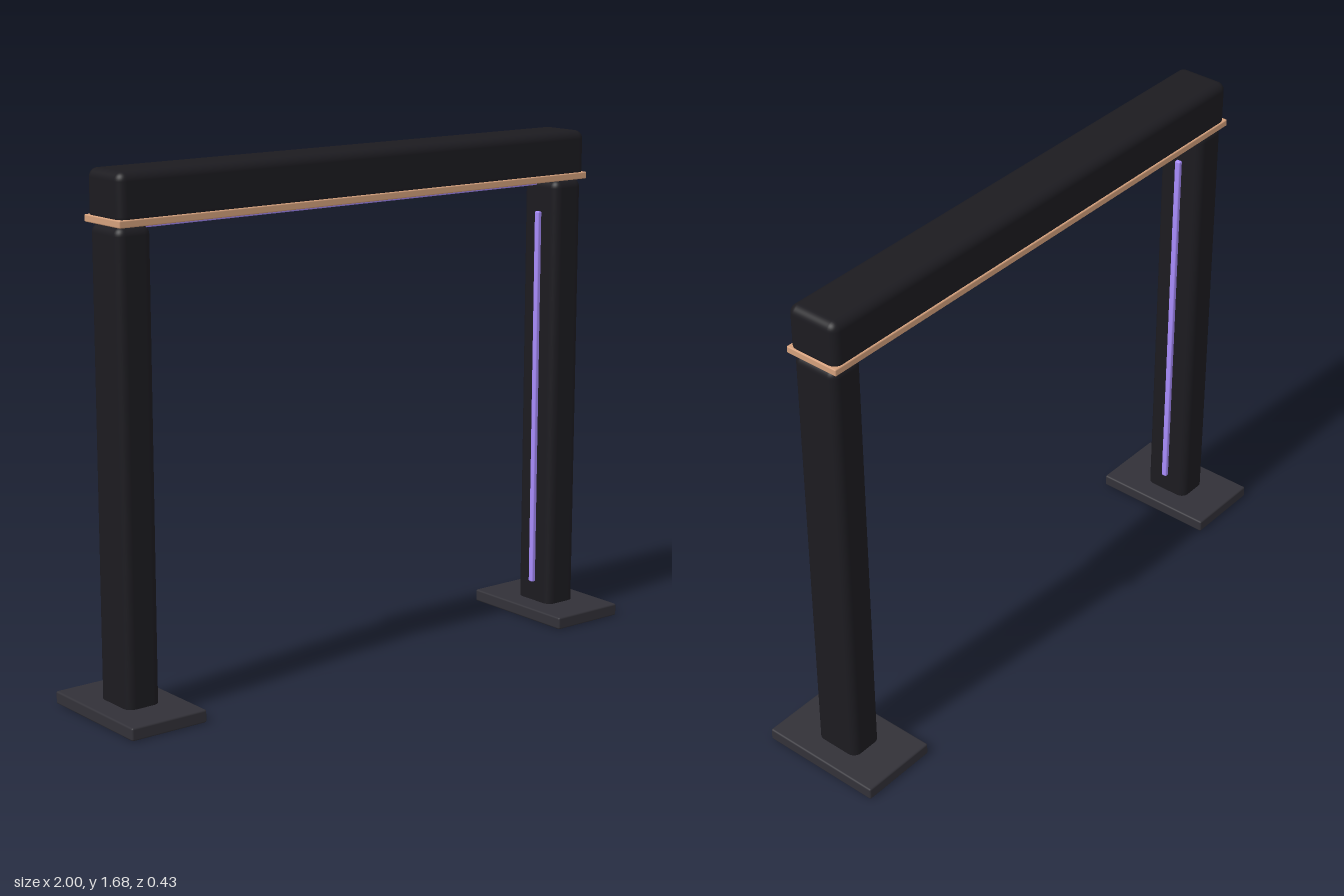
import * as THREE from 'three';
import { RoundedBoxGeometry } from 'three/addons/geometries/RoundedBoxGeometry.js';

const paint = (color) => new THREE.MeshStandardMaterial({ color });

export function createModel() {
  const model = new THREE.Group();
  model.name = 'archway';

  const shell = paint(0x1c1b20);
  const plate = paint(0x323138);
  const copper = paint(0xd4a07c);
  const glow = paint(0xa78bfa);

  // Rounded box given by its centre x, bottom and top y, width and depth
  function block(name, parent, material, x, y0, y1, width, depth, radius, segments = 4) {
    const geometry = new RoundedBoxGeometry(width, y1 - y0, depth, segments, radius);
    const mesh = new THREE.Mesh(geometry, material);
    mesh.name = name;
    mesh.position.set(x, (y0 + y1) / 2, 0);
    parent.add(mesh);
  }

  // Two legs, each with a foot plate and a light strip on the inner face
  for (const [side, s] of [['left', 1], ['right', -1]]) {
    const leg = new THREE.Group();
    leg.name = `${side}Leg`;
    block('footPlate', leg, plate, s * 0.865, 0.001, 0.042, 0.27, 0.43, 0.006, 2);
    block('post', leg, shell, s * 0.865, 0, 1.515, 0.12, 0.162, 0.028);
    block('postLight', leg, glow, s * 0.801, 0.11, 1.405, 0.018, 0.02, 0.004, 2);
    model.add(leg);
  }

  // Crossbeam with a thin trim plate and a light strip underneath
  const top = new THREE.Group();
  top.name = 'crossbeam';
  block('beam', top, shell, 0, 1.518, 1.677, 1.85, 0.182, 0.028);
  block('trim', top, copper, 0, 1.515, 1.538, 1.86, 0.19, 0.004, 2);
  block('beamLight', top, glow, 0, 1.496, 1.518, 1.572, 0.02, 0.004, 2);
  model.add(top);

  return model;
}
